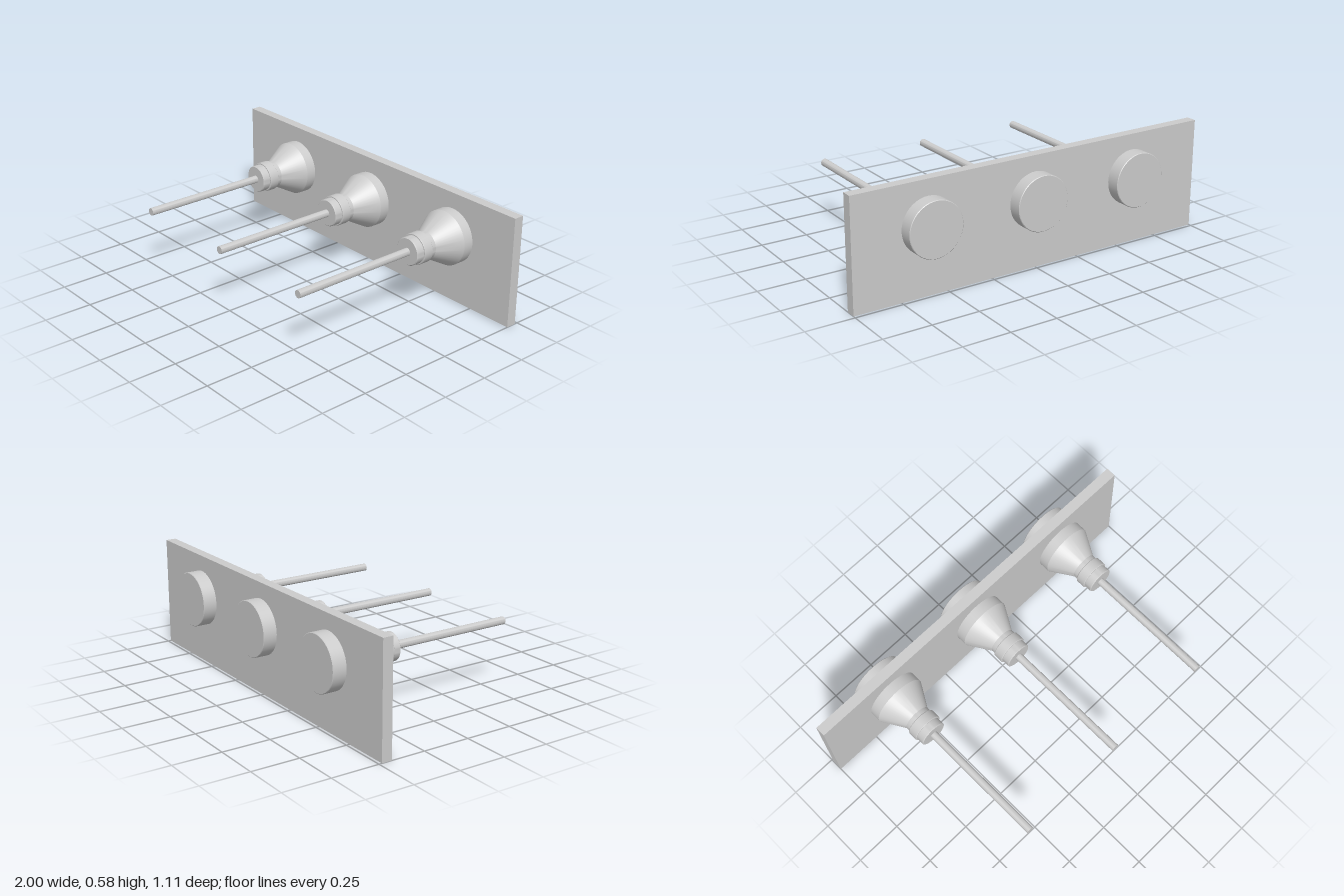
import * as THREE from 'three';
import { toCreasedNormals } from 'three/addons/utils/BufferGeometryUtils.js';

const material = new THREE.MeshStandardMaterial({ color: 0xcccccc });

// Turns a profile of [radius, z] points around the z axis, keeping edges sharp
function turned(name, profile) {
  const points = profile.map(([r, z]) => new THREE.Vector2(r, z));
  const geometry = new THREE.LatheGeometry(points, 48).rotateX(Math.PI / 2);
  const mesh = new THREE.Mesh(toCreasedNormals(geometry, 0.4), material);
  mesh.name = name;
  return mesh;
}

function createFitting() {
  const fitting = new THREE.Group();
  // Wide back drum, cone and narrow neck
  fitting.add(turned('body', [
    [0, -0.556], [0.14, -0.556], [0.143, -0.553], [0.143, -0.375],
    [0.072, -0.25], [0.072, -0.132], [0.068, -0.128], [0, -0.128],
  ]));
  // Raised band around the neck
  fitting.add(turned('collar', [
    [0.07, -0.224], [0.077, -0.224], [0.08, -0.221],
    [0.08, -0.173], [0.077, -0.17], [0.07, -0.17],
  ]));
  // Long thin rod pointing forward
  fitting.add(turned('rod', [
    [0, -0.14], [0.02, -0.14], [0.02, 0.556], [0, 0.556],
  ]));
  return fitting;
}

export function createModel() {
  const model = new THREE.Group();
  model.name = 'plateWithRods';

  // Upright mounting plate
  const plate = new THREE.Mesh(new THREE.BoxGeometry(2, 0.578, 0.054), material);
  plate.name = 'plate';
  plate.position.set(0, 0.289, -0.457);
  model.add(plate);

  // Row of three fittings
  [-0.585, 0.006, 0.6].forEach((x, i) => {
    const fitting = createFitting();
    fitting.name = `fitting${i + 1}`;
    fitting.position.set(x, 0.353, 0);
    model.add(fitting);
  });
  return model;
}
